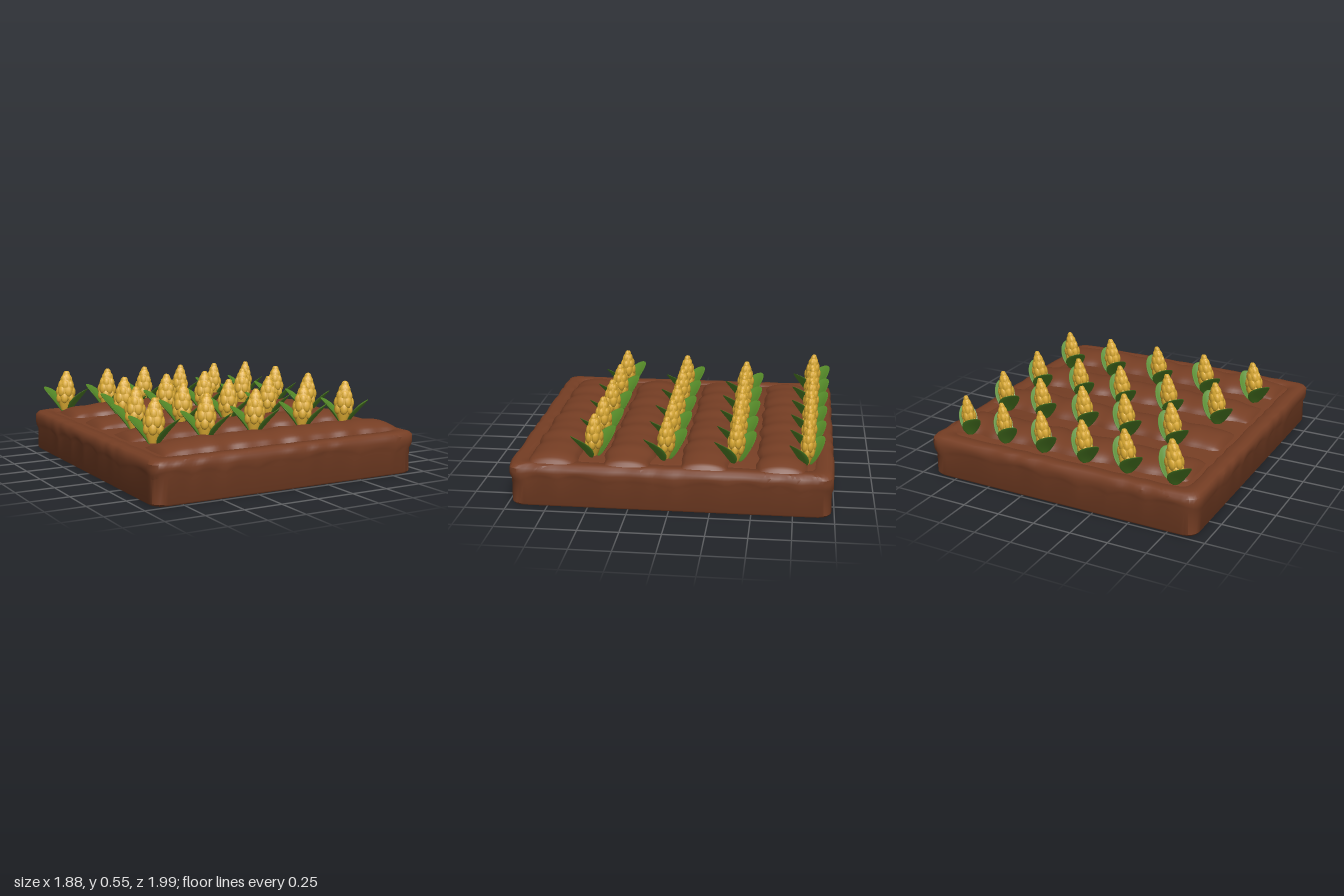
import * as THREE from 'three';
import { mergeGeometries, toCreasedNormals } from 'three/addons/utils/BufferGeometryUtils.js';

const soil = new THREE.MeshStandardMaterial({ color: 0x763e24 });
soil.name = 'soil brown';
const green = new THREE.MeshStandardMaterial({ color: 0x558a28 });
green.name = 'leaf green';
const yellow = new THREE.MeshStandardMaterial({ color: 0xdcab32 });
yellow.name = 'corn yellow';

// Apply a rule to every vertex of a geometry
function reshape(geo, rule) {
  const p = geo.attributes.position, v = new THREE.Vector3();
  for (let i = 0; i < p.count; i++) {
    v.fromBufferAttribute(p, i);
    rule(v);
    p.setXYZ(i, v.x, v.y, v.z);
  }
  geo.computeVertexNormals();
  return geo;
}

// Rounded earth block: rings of a rounded rectangle lofted from the underside to the top
function bedGeometry() {
  const W = 0.94, D = 0.995, R = 0.09, N = 300;
  const s = new THREE.Shape();
  s.moveTo(W, -D + R);
  s.lineTo(W, D - R); s.quadraticCurveTo(W, D, W - R, D);
  s.lineTo(-W + R, D); s.quadraticCurveTo(-W, D, -W, D - R);
  s.lineTo(-W, -D + R); s.quadraticCurveTo(-W, -D, -W + R, -D);
  s.lineTo(W - R, -D); s.quadraticCurveTo(W, -D, W, -D + R);
  const outline = s.getSpacedPoints(N).slice(0, N);
  // [inset, height, scallop amount, edge wobble]
  const rings = [
    [0.94, 0, 0, 0], [0.02, 0, 0, 0], [0.012, 0.012, 0, 0], [0.014, 0.15, 1, 0],
    [0.003, 0.178, 1, 0.3], [0, 0.215, 0.3, 1], [0.003, 0.245, 0, 1], [0.018, 0.264, 0, 1],
    [0.045, 0.271, 0, 0.5], [0.095, 0.269, 0, 1], [0.112, 0.256, 0, 1],
    [0.135, 0.264, 0, 0], [0.94, 0.264, 0, 0],
  ];
  const pos = [], idx = [];
  rings.forEach(([inset, y, scallop, wob], j) => {
    outline.forEach((p, i) => {
      const a = (i / N) * Math.PI * 2;
      const drop = scallop * (0.028 * Math.abs(Math.sin(a * 13 + Math.sin(a * 5))) - 0.01 + 0.012 * Math.sin(a * 7));
      const e = Math.max(0, inset + wob * 0.004 * Math.sin(a * 31 + 2 * Math.sin(a * 9)));
      pos.push(p.x * (1 - e / W), y + drop, -p.y * (1 - e / (inset > 0.5 ? W : D)));
      if (j < rings.length - 1) {
        const k = (i + 1) % N, b = j * N;
        idx.push(b + i, b + k, b + N + k, b + i, b + N + k, b + N + i);
      }
    });
  });
  const g = new THREE.BufferGeometry();
  g.setAttribute('position', new THREE.Float32BufferAttribute(pos, 3));
  g.setIndex(idx);
  return toCreasedNormals(g, 0.7);
}

// Ploughed ridge: a plane domed into a long lumpy mound
function ridgeGeometry(seed) {
  const g = new THREE.PlaneGeometry(2, 2, 70, 18).rotateX(-Math.PI / 2);
  return reshape(g, (v) => {
    const u = v.x, w = v.z;
    const lump = 0.006 * Math.sin(u * 17 + seed) + 0.005 * Math.sin(u * 29 + seed * 3);
    const end = Math.pow(Math.max(0, 1 - Math.pow(Math.abs(u), 9)), 0.5);
    const dome = Math.pow(Math.max(0, 1 - w * w), 0.55);
    v.x = 0.05 + u * 0.865;
    v.y = 0.252 + dome * end * (0.075 + lump * 0.5);
    v.z = w * (0.158 + lump) * (0.9 + 0.1 * end);
  });
}

// Cupped leaf: a sphere flattened, widened and leaned outwards along +z
function leafGeometry() {
  return reshape(new THREE.SphereGeometry(1, 20, 14), (v) => {
    const t = Math.pow((v.y + 1) / 2, 0.8);
    const w = v.x, thick = v.z;
    v.x = w * 0.072;
    v.y = -0.015 + 0.175 * t + 0.003 * thick;
    v.z = 0.025 + 0.14 * Math.pow(t, 1.25) - 0.025 * w * w + 0.012 * thick;
  });
}

// Cob: a tapered core covered by staggered rings of kernels
function cobGeometry() {
  const core = [[0.025, 0], [0.045, 0.05], [0.056, 0.1], [0.055, 0.16], [0.042, 0.21], [0.024, 0.255], [0, 0.28]];
  const parts = [new THREE.LatheGeometry(core.map(([r, y]) => new THREE.Vector2(r, y)), 16)];
  const rings = [[0.042, 0.09, 6, 1], [0.044, 0.135, 6, 1], [0.036, 0.178, 6, 0.92], [0.023, 0.218, 5, 0.82], [0.009, 0.25, 3, 0.75]];
  rings.forEach(([r, y, n, k], j) => {
    for (let i = 0; i < n; i++) {
      const a = ((i + (j % 2) * 0.5) / n) * Math.PI * 2;
      const kernel = new THREE.SphereGeometry(1, 8, 7);
      kernel.scale(0.027 * k, 0.04 * k, 0.022 * k).rotateX(-0.12);
      kernel.translate(0, y, r).rotateY(a);
      parts.push(kernel);
    }
  });
  return mergeGeometries(parts).scale(1.06, 1, 0.84).rotateY(-0.55);
}

export function createModel() {
  const model = new THREE.Group();
  model.name = 'cornField';
  const add = (parent, geo, mat, name) => {
    const m = new THREE.Mesh(geo, mat);
    m.name = name;
    parent.add(m);
    return m;
  };

  add(model, bedGeometry(), soil, 'earthBed');
  [0.725, 0.265, -0.21, -0.675].forEach((z, i) => {
    add(model, ridgeGeometry(i * 1.7), soil, 'ridge').position.z = z;
  });

  // Rows of plants: [z at the first plant, z at the last, last scale, x positions]
  const leaf = leafGeometry(), cob = cobGeometry();
  const rows = [
    [-0.85, -0.825, 0.82, [-0.735, -0.42, -0.127, 0.17, 0.455, 0.73]],
    [-0.375, -0.39, 0.95, [-0.5, -0.175, 0.13, 0.445, 0.73]],
    [0.06, 0.04, 0.96, [-0.615, -0.27, 0.08, 0.4, 0.73]],
    [0.51, 0.49, 0.97, [-0.7, -0.34, 0.02, 0.39, 0.725]],
  ];
  for (const [z0, z1, lastScale, xs] of rows) {
    xs.forEach((x, i) => {
      const f = i / (xs.length - 1);
      const plant = new THREE.Group();
      plant.name = 'cornPlant';
      plant.position.set(x, 0.27, z0 + (z1 - z0) * f);
      const k = 1 + (lastScale - 1) * f;
      plant.scale.set(k, 1 + (k - 1) * 0.4, k);
      const ear = add(plant, cob, yellow, 'cob');
      ear.position.x = -0.01;
      ear.rotation.set(-0.05, 0, -0.09);
      for (const a of [0.25, 1.25]) add(plant, leaf, green, 'leaf').rotation.y = a * Math.PI;
      model.add(plant);
    });
  }
  return model;
}
